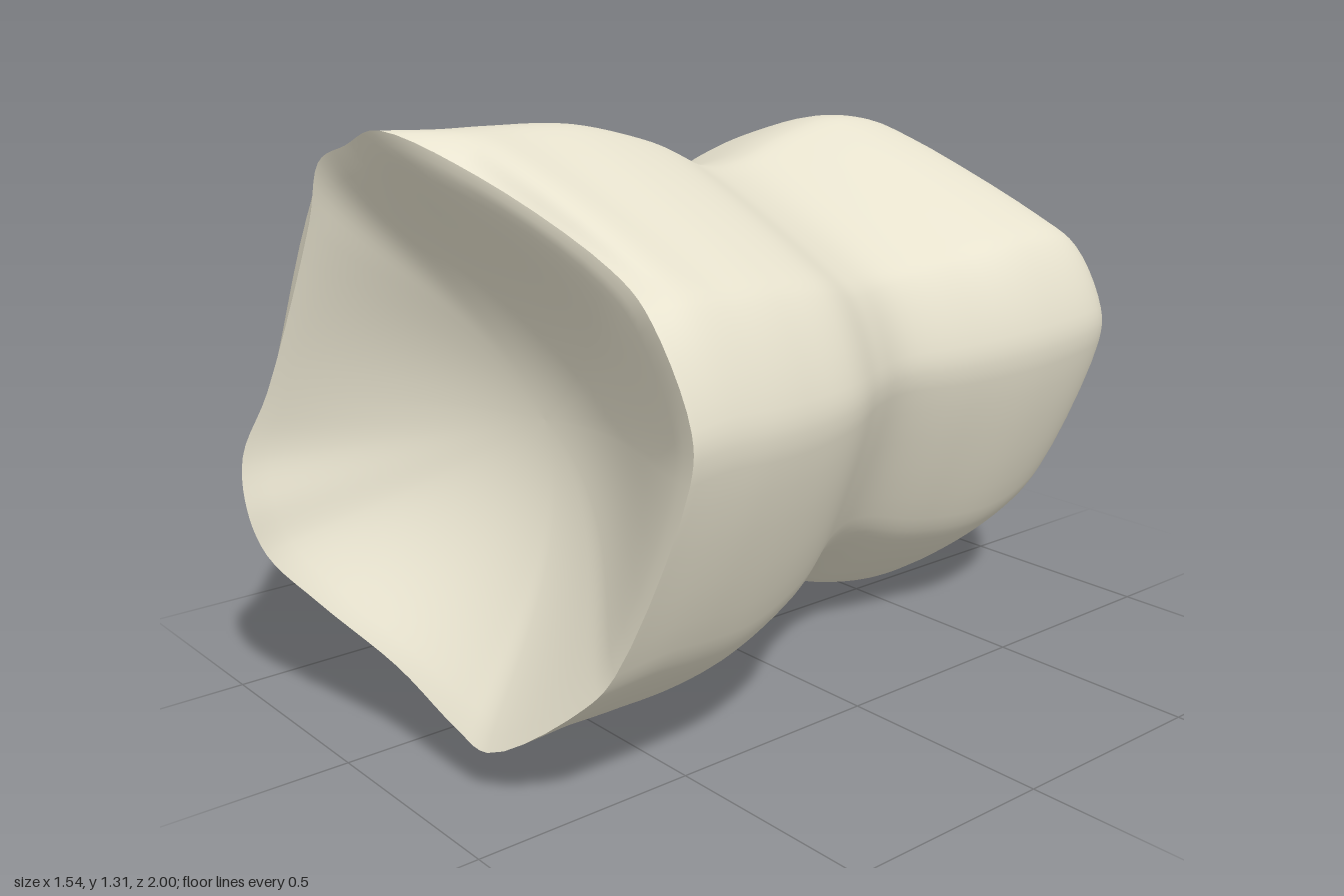
import * as THREE from 'three';

// Closed smooth curve through control points, with the same sampling for every ring
const SAMPLES = 5;
function closedCurve(points) {
  const curve = new THREE.CatmullRomCurve3(
    points.map(([x, y, z = 0]) => new THREE.Vector3(x, y, z)), true);
  return curve.getPoints(points.length * SAMPLES).slice(0, -1);
}

// Rounded, tilted square outline, normalised to -1..1, counter-clockwise from the front
const outline = closedCurve([
  [-0.1, 1], [-0.44, 0.92], [-0.66, 0.82], [-0.78, 0.66], [-0.98, 0.08], [-1, -0.11],
  [-0.9, -0.42], [-0.77, -0.62], [-0.59, -0.75], [0, -0.99], [0.19, -0.98], [0.36, -0.9],
  [0.66, -0.67], [0.76, -0.53], [0.99, 0.1], [0.99, 0.26], [0.86, 0.54], [0.7, 0.65], [0.08, 0.95],
]);
const AROUND = outline.length;

// Uneven rims, point for point with the outline
const frontRim = closedCurve([
  [0.03, 1.305, 0.87], [-0.1, 1.265, 0.875], [-0.21, 1.22, 0.88], [-0.255, 1.09, 0.885],
  [-0.39, 0.71, 0.94], [-0.44, 0.56, 0.985], [-0.405, 0.45, 1], [-0.355, 0.355, 0.985],
  [-0.2, 0.28, 0.945], [0.02, 0.19, 0.885], [0.22, 0.12, 0.87], [0.32, 0.1, 0.86],
  [0.54, 0.25, 0.78], [0.6, 0.33, 0.75], [0.76, 0.73, 0.7], [0.765, 0.83, 0.7],
  [0.67, 1.01, 0.71], [0.53, 1.08, 0.69], [0.2, 1.225, 0.76],
]);
const backRim = closedCurve([
  [-0.22, 1.02, -0.87], [-0.38, 0.99, -0.885], [-0.48, 0.95, -0.865], [-0.54, 0.89, -0.84],
  [-0.63, 0.67, -0.8], [-0.64, 0.59, -0.79], [-0.59, 0.47, -0.81], [-0.53, 0.4, -0.84],
  [-0.45, 0.34, -0.86], [-0.17, 0.24, -0.865], [-0.09, 0.24, -0.865], [-0.01, 0.27, -0.875],
  [0.13, 0.37, -0.92], [0.18, 0.43, -0.95], [0.285, 0.67, -1], [0.285, 0.73, -1],
  [0.22, 0.84, -0.98], [0.15, 0.89, -0.94], [-0.13, 1, -0.875],
]);

// Stations along the body: z, left edge, right edge, bottom, top
const stations = [
  [-0.83, -0.69, 0.4, 0.155, 1.12],
  [-0.74, -0.735, 0.46, 0.075, 1.195],
  [-0.58, -0.765, 0.475, 0, 1.225],
  [-0.4, -0.745, 0.45, 0.02, 1.19],
  [-0.2, -0.63, 0.45, 0.11, 1.15],
  [0, -0.54, 0.55, 0.155, 1.16],
  [0.2, -0.545, 0.68, 0.1, 1.235],
  [0.4, -0.575, 0.73, 0.035, 1.285],
  [0.58, -0.565, 0.755, 0.04, 1.295],
  [0.72, -0.52, 0.765, 0.055, 1.3],
];

// One ring; the end rings lean so that the ends are oblique
function ring([z, x0, x1, y0, y1]) {
  const lean = -0.22 * THREE.MathUtils.smoothstep(Math.abs(z), 0.2, 0.87);
  return outline.map((p) => {
    const dx = p.x * (x1 - x0) / 2;
    return new THREE.Vector3((x0 + x1) / 2 + dx, (y0 + y1) / 2 + p.y * (y1 - y0) / 2, z + lean * dx);
  });
}

// Rings of a hollow end: the rim's unevenness fades quickly into a round, leaning dish
function bowl(rim, depth, steps = 24) {
  const centre = rim.reduce((sum, p) => sum.add(p), new THREE.Vector3()).divideScalar(rim.length);
  const arms = rim.map((p) => p.clone().sub(centre));
  const radius = arms.reduce((sum, a) => sum + Math.hypot(a.x, a.y), 0) / arms.length;
  return Array.from({ length: steps + 1 }, (_, i) => {
    const s = 1 - i / steps;
    const sink = depth * (1 - s * s) ** 1.3;
    return arms.map((a) => {
      const k = s * THREE.MathUtils.lerp(radius / Math.hypot(a.x, a.y), 1, s * s);
      const z = -0.22 * a.x * k + (a.z + 0.22 * a.x) * s ** 4 + sink;
      return new THREE.Vector3(a.x * k, a.y * k, z).add(centre);
    });
  });
}

// Smooth skin over a list of rings
function loft(name, rings) {
  const index = [];
  for (let i = 0; i < rings.length - 1; i++) {
    for (let j = 0; j < AROUND; j++) {
      const k = (j + 1) % AROUND;
      const a = i * AROUND + j, b = i * AROUND + k;
      index.push(a, b, a + AROUND, b, b + AROUND, a + AROUND);
    }
  }
  const geometry = new THREE.BufferGeometry().setFromPoints(rings.flat());
  geometry.setIndex(index);
  geometry.computeVertexNormals();
  const mesh = new THREE.Mesh(geometry, new THREE.MeshStandardMaterial({ color: 0xe6e1cd, side: THREE.DoubleSide }));
  mesh.name = name;
  return mesh;
}

export function createModel() {
  const group = new THREE.Group();
  group.name = 'vertebraBody';

  // Waisted outer wall, splined lengthwise from the back rim to the front rim
  const coarse = [backRim, ...stations.map(ring), frontRim];
  const columns = outline.map((_, j) =>
    new THREE.CatmullRomCurve3(coarse.map((r) => r[j])).getPoints(66));
  const wall = columns[0].map((_, i) => columns.map((c) => c[i]));

  // The back hollow rolls softly into the wall
  const backHollow = bowl(backRim, 0.2).reverse().slice(0, -1);
  group.add(loft('outerWallAndBackHollow', [...backHollow, ...wall]));

  // The front hollow meets the wall at a sharp rim
  group.add(loft('frontHollow', bowl(frontRim, -0.28)));
  return group;
}
